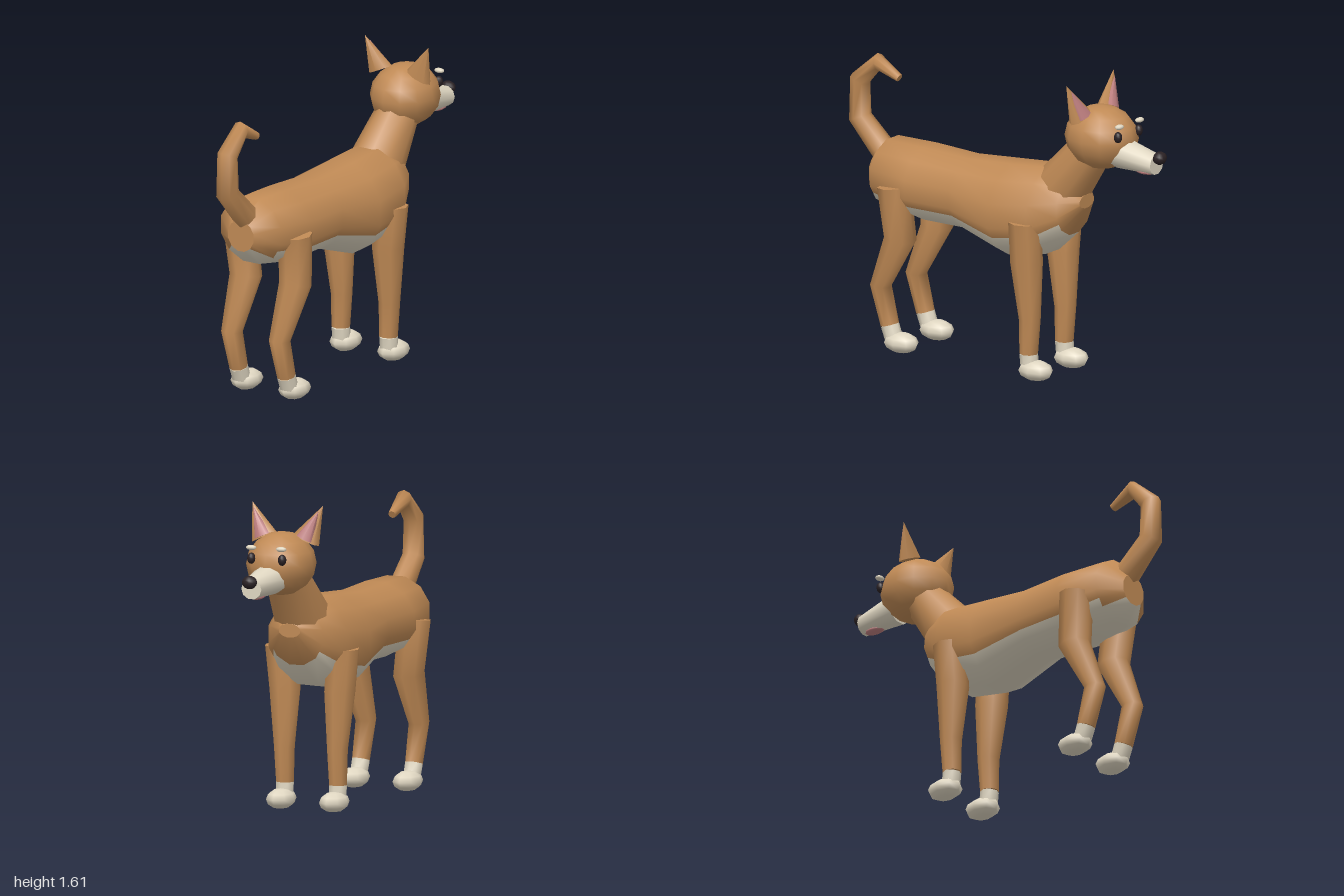
import * as THREE from 'three';
import { mergeVertices } from 'three/addons/utils/BufferGeometryUtils.js';

const mat = (name, color) => {
  const m = new THREE.MeshStandardMaterial({ color });
  m.name = name;
  return m;
};

// Unit cross-section with n corners, the first one at the given angle
const ngon = (n, start = 0) => Array.from({ length: n }, (_, j) => {
  const a = start + (j / n) * Math.PI * 2;
  return [Math.cos(a), Math.sin(a)];
});

// Skin over stations [x, y, z, rx, ry]; rings follow the path unless an axis is given.
// second(i, j) picks the faces that take the second material.
function loft(stations, section, axis = null, second = () => false) {
  const n = section.length, pos = [], idx = [[], []];
  const centres = stations.map(s => new THREE.Vector3(s[0], s[1], s[2]));
  const right = new THREE.Vector3(1, 0, 0);
  const ring = i => {
    const c = centres[i], rx = stations[i][3], ry = stations[i][4] ?? rx;
    let t = axis;
    if (!t) {
      const a = i > 0 ? c.clone().sub(centres[i - 1]).normalize() : new THREE.Vector3();
      const b = i < centres.length - 1 ? centres[i + 1].clone().sub(c).normalize() : new THREE.Vector3();
      t = a.add(b).normalize();
    }
    const up = t.clone().cross(right).normalize();
    for (const [u, v] of section) {
      const p = c.clone().addScaledVector(right, u * rx).addScaledVector(up, v * ry);
      pos.push(p.x, p.y, p.z);
    }
  };
  stations.forEach((_, i) => ring(i));
  for (let i = 0; i < stations.length - 1; i++) {
    for (let j = 0; j < n; j++) {
      const a = i * n + j, b = i * n + (j + 1) % n;
      idx[second(i, j) ? 1 : 0].push(a, b, b + n, a, b + n, a + n);
    }
  }
  // End caps on their own vertices, so the rims stay crisp
  const last = stations.length - 1;
  for (const [i, flip] of [[0, true], [last, false]]) {
    const base = pos.length / 3;
    ring(i);
    for (let j = 1; j < n - 1; j++) {
      idx[0].push(base, base + (flip ? j + 1 : j), base + (flip ? j : j + 1));
    }
  }
  const g = new THREE.BufferGeometry();
  g.setAttribute('position', new THREE.Float32BufferAttribute(pos, 3));
  g.setIndex([...idx[0], ...idx[1]]);
  if (idx[1].length) {
    g.addGroup(0, idx[0].length, 0);
    g.addGroup(idx[0].length, idx[1].length, 1);
  }
  g.computeVertexNormals();
  return g;
}

export function createModel() {
  const coat = mat('tan coat', 0xc08a55);
  const cream = mat('cream', 0xe0d7c2);
  const dark = mat('dark nose and eyes', 0x2a2124);
  const pink = mat('pink', 0xbf7f80);

  const model = new THREE.Group();
  model.name = 'dog';
  const add = (name, geometry, material) => {
    const m = new THREE.Mesh(geometry, material);
    m.name = name;
    model.add(m);
    return m;
  };
  const ball = (name, material, p, s, w = 10, h = 8) => {
    const g = new THREE.SphereGeometry(1, w, h);
    g.scale(...s);
    return add(name, g, material).position.set(...p);
  };
  const zAxis = new THREE.Vector3(0, 0, 1);

  // Body: rows of z, top, bottom, half width, from chest to rump
  const rows = [
    [-0.50, 0.99, 0.92, 0.06], [-0.42, 1.07, 0.77, 0.15], [-0.28, 1.11, 0.65, 0.225],
    [-0.05, 1.09, 0.61, 0.24], [0.23, 1.07, 0.70, 0.205], [0.50, 1.08, 0.70, 0.22],
    [0.74, 1.08, 0.74, 0.19], [0.83, 0.98, 0.82, 0.08],
  ];
  const k = 1 / Math.cos(Math.PI / 12);
  const stations = rows.map(([z, top, bottom, w]) =>
    [0, (top + bottom) / 2, z, w * k, (top - bottom) / 2 * k]);
  // Twelve sides, with an extra corner low on each flank where the belly colour starts
  const section = ngon(12, Math.PI / 12);
  const mid = (a, b) => [(a[0] + b[0]) / 2, (a[1] + b[1]) / 2];
  section.splice(11, 0, mid(section[10], section[11]));
  section.splice(7, 0, mid(section[6], section[7]));
  const belly = (i, j) => i > 0 && (i === 6 ? j >= 8 && j <= 10 : j >= 7 && j <= 11);
  add('body', loft(stations, section, zAxis, belly), [coat, cream]);

  // Neck, head and muzzle
  add('neck', loft([[0, 0.95, -0.32, 0.145], [0, 1.03, -0.365, 0.142],
    [0, 1.21, -0.51, 0.115], [0, 1.29, -0.57, 0.11]], ngon(10)), coat);
  const skull = mergeVertices(new THREE.SphereGeometry(1, 12, 8));
  skull.scale(0.175, 0.165, 0.198);
  add('head', skull, coat).position.set(0, 1.315, -0.595);
  add('muzzle', loft([[0, 1.225, -0.945, 0.057, 0.054], [0, 1.255, -0.71, 0.092, 0.084]],
    ngon(10), zAxis), cream);
  ball('nose', dark, [0, 1.262, -0.966], [0.041, 0.034, 0.034]);
  ball('tongue', pink, [0, 1.178, -0.875], [0.035, 0.015, 0.06]);

  // Ears, eyes and brows
  for (const s of [1, -1]) {
    const side = s > 0 ? 'left' : 'right';
    const ear = (name, material, p, size, height, depth, lean) => {
      const g = new THREE.ConeGeometry(1, 1, 8).translate(0, 0.5, 0);
      g.applyMatrix4(new THREE.Matrix4().makeBasis(
        new THREE.Vector3(0.07 * size, -0.03 * s * size, 0),
        new THREE.Vector3(0.08 * s * height, 0.175 * height, lean),
        new THREE.Vector3(0, 0, depth)).setPosition(s * p[0], p[1], p[2]));
      add(side + name, g, material);
    };
    ear('Ear', coat, [0.12, 1.437, -0.547], 1, 1, 0.043, 0.027);
    ear('InnerEar', pink, [0.12, 1.445, -0.567], 0.65, 0.8, 0.034, 0.027);
    ball(side + 'Eye', dark, [s * 0.087, 1.356, -0.765], [0.022, 0.029, 0.022]);
    ball(side + 'Brow', cream, [s * 0.085, 1.412, -0.772], [0.03, 0.013, 0.02], 8, 6);
  }

  // Legs with cream ankles and paws
  const leg = (name, s, path, ankle, pawZ) => {
    const place = ([x, ...rest]) => [s * x, ...rest];
    add(name + 'Leg', loft(path.map(place), ngon(8)), coat);
    add(name + 'Ankle', loft([path[path.length - 1], ankle].map(place), ngon(8)), cream);
    ball(name + 'Paw', cream, [s * 0.15, 0.058, pawZ], [0.074, 0.053, 0.1], 8, 6);
  };
  for (const s of [1, -1]) {
    const side = s > 0 ? 'Left' : 'Right';
    leg('front' + side, s, [[0.175, 0.84, -0.237, 0.086], [0.155, 0.62, -0.233, 0.084],
      [0.15, 0.32, -0.25, 0.056], [0.15, 0.14, -0.243, 0.048]], [0.15, 0.06, -0.25, 0.047], -0.287);
    leg('hind' + side, s, [[0.175, 0.885, 0.598, 0.087], [0.155, 0.61, 0.572, 0.085],
      [0.15, 0.34, 0.70, 0.056], [0.15, 0.14, 0.642, 0.048]], [0.15, 0.06, 0.612, 0.047], 0.57);
  }

  // Curled tail
  add('tail', loft([[0, 0.98, 0.77, 0.068], [0, 1.155, 0.945, 0.06], [0, 1.355, 0.945, 0.054],
    [0, 1.465, 0.828, 0.045], [0, 1.40, 0.695, 0.021]], ngon(8)), coat);

  return model;
}
